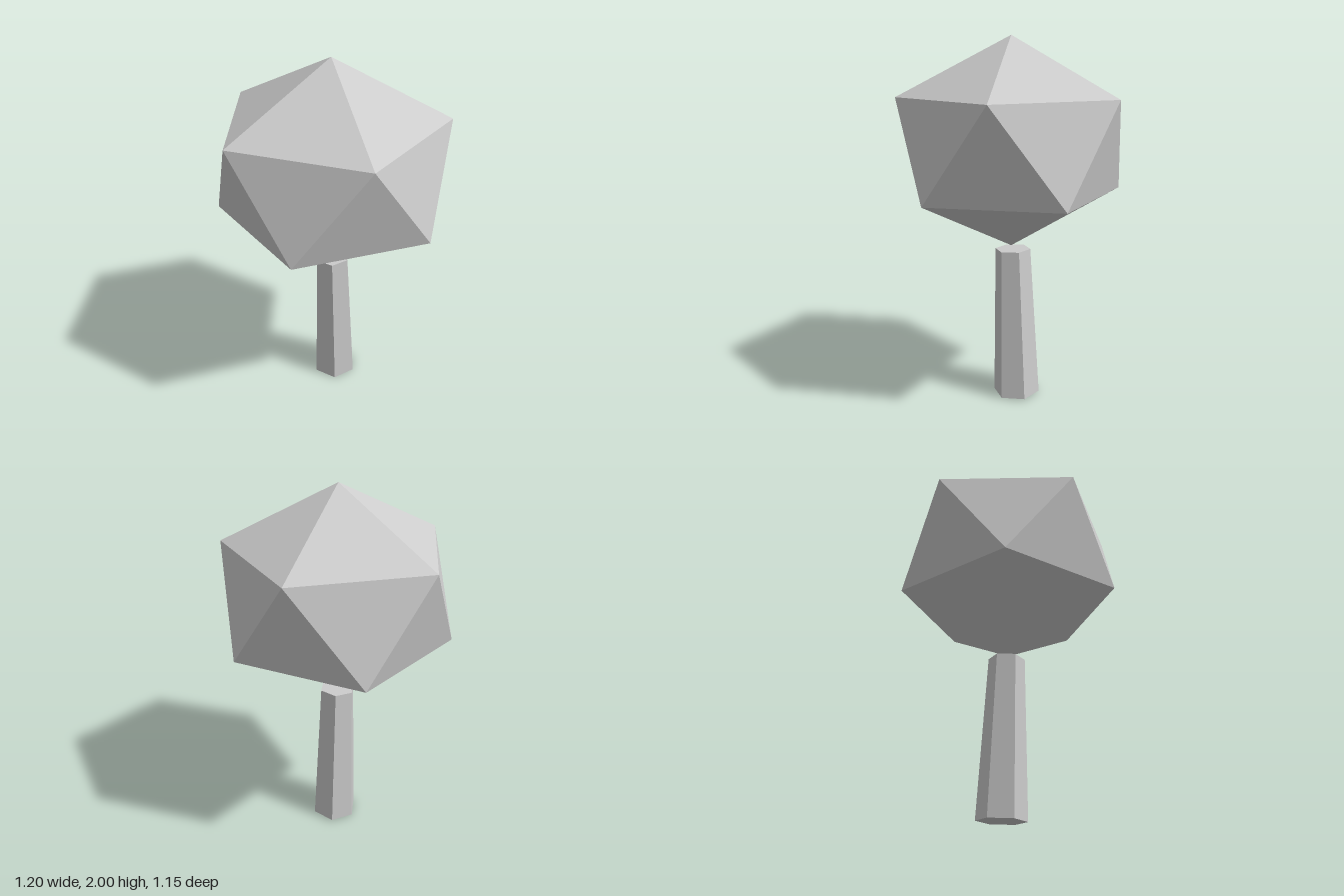
import * as THREE from 'three';

// Twenty-sided crown: top point, two staggered rings of five, bottom point
function crownGeometry(radius, top, upper, lower, bottom) {
  const ringPoint = (step, y) => {
    const a = (step * Math.PI) / 5;
    return [radius * Math.cos(a), y, radius * Math.sin(a)];
  };
  const peak = [0, top, 0];
  const foot = [0, bottom, 0];
  const positions = [];
  const face = (...corners) => corners.forEach((c) => positions.push(...c));

  for (let i = 0; i < 5; i++) {
    const u0 = ringPoint(2 * i, upper);
    const u1 = ringPoint(2 * i + 2, upper);
    const l0 = ringPoint(2 * i + 1, lower);
    const l1 = ringPoint(2 * i + 3, lower);
    face(peak, u1, u0);
    face(u0, u1, l0);
    face(l0, u1, l1);
    face(foot, l0, l1);
  }

  const geometry = new THREE.BufferGeometry();
  geometry.setAttribute('position', new THREE.Float32BufferAttribute(positions, 3));
  geometry.computeVertexNormals();
  return geometry;
}

export function createModel() {
  const model = new THREE.Group();
  model.name = 'lowPolyTree';

  const grey = new THREE.MeshStandardMaterial({ color: 0xcccccc });
  grey.name = 'light grey';
  grey.flatShading = true;

  // Crown
  const crown = new THREE.Mesh(crownGeometry(0.602, 2, 1.69, 1.187, 0.875), grey);
  crown.name = 'crown';
  model.add(crown);

  // Slightly leaning, tapered six-sided trunk
  const base = new THREE.Vector3(0.022, 0.005, -0.035);
  const tip = new THREE.Vector3(0.005, 0.858, -0.01);
  const axis = tip.clone().sub(base);
  const trunk = new THREE.Mesh(new THREE.CylinderGeometry(0.098, 0.131, axis.length(), 6), grey);
  trunk.name = 'trunk';
  trunk.position.copy(base).add(tip).multiplyScalar(0.5);
  trunk.quaternion.setFromUnitVectors(new THREE.Vector3(0, 1, 0), axis.normalize());
  model.add(trunk);

  return model;
}
